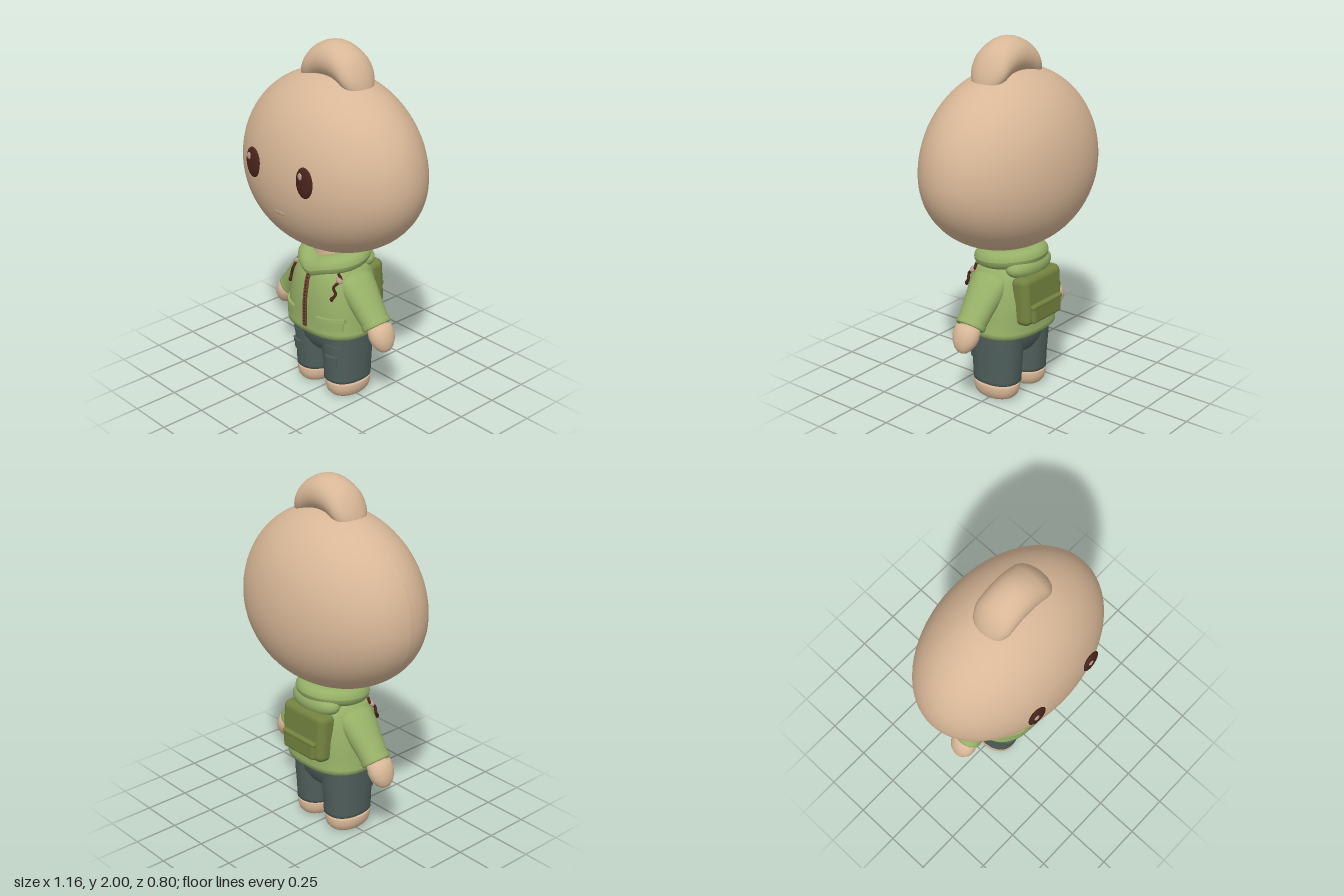
import * as THREE from 'three';
import { RoundedBoxGeometry } from 'three/addons/geometries/RoundedBoxGeometry.js';

const mat = (name, color, side = THREE.FrontSide) => {
  const m = new THREE.MeshStandardMaterial({ color, side });
  m.name = name;
  return m;
};

// Move every vertex by a rule, then refresh the normals
function warp(geo, rule) {
  const p = geo.attributes.position, v = new THREE.Vector3();
  for (let i = 0; i < p.count; i++) {
    rule(v.fromBufferAttribute(p, i));
    p.setXYZ(i, v.x, v.y, v.z);
  }
  geo.computeVertexNormals();
  return geo;
}

// Skin over superellipse rings [y, rx, rz], listed from bottom to top
function loft(rings, power = 2, n = 48) {
  const pos = [], idx = [];
  const bend = (t) => Math.sign(t) * Math.abs(t) ** (2 / power);
  for (const [y, rx, rz] of rings)
    for (let j = 0; j < n; j++) {
      const a = (j / n) * Math.PI * 2;
      pos.push(rx * bend(Math.cos(a)), y, rz * bend(Math.sin(a)));
    }
  for (let i = 0; i < rings.length - 1; i++)
    for (let j = 0; j < n; j++) {
      const k = (j + 1) % n, a = i * n + j, b = i * n + k, c = a + n, d = b + n;
      idx.push(a, c, b, b, c, d);
    }
  const g = new THREE.BufferGeometry();
  g.setAttribute('position', new THREE.Float32BufferAttribute(pos, 3));
  g.setIndex(idx);
  g.computeVertexNormals();
  return g;
}

// Front depth of a lofted shape at (x, y)
function frontOf(rings, power, cx = 0) {
  return (x, y) => {
    let i = 0;
    while (i < rings.length - 2 && rings[i + 1][0] < y) i++;
    const [y0, a0, b0] = rings[i], [y1, a1, b1] = rings[i + 1];
    const t = THREE.MathUtils.clamp((y - y0) / (y1 - y0), 0, 1);
    const q = Math.min(1, Math.abs(x - cx) / (a0 + (a1 - a0) * t));
    return (b0 + (b1 - b0) * t) * (1 - q ** power) ** (1 / power);
  };
}

// Plate that follows a curved front
function patch(x0, x1, y0, y1, thick, surface) {
  const g = new THREE.BoxGeometry(x1 - x0, y1 - y0, thick, 10, 8, 1);
  g.translate((x0 + x1) / 2, (y0 + y1) / 2, 0);
  return warp(g, (v) => { v.z += surface(v.x, v.y); });
}

const JACKET = [[0.395, 0.245, 0.195], [0.398, 0.262, 0.212], [0.425, 0.264, 0.214], [0.432, 0.256, 0.209],
  [0.5, 0.25, 0.21], [0.6, 0.235, 0.207], [0.7, 0.208, 0.192], [0.76, 0.18, 0.168], [0.81, 0.12, 0.12]];
const LEG = [[0.095, 0.098, 0.125], [0.098, 0.108, 0.138], [0.115, 0.108, 0.139], [0.2, 0.108, 0.144],
  [0.3, 0.112, 0.152], [0.42, 0.112, 0.155]];
const LEG_X = 0.113;

export function createModel() {
  const model = new THREE.Group();
  const skin = mat('skin', 0xd8b797), green = mat('jacket green', 0x96b067, THREE.DoubleSide);
  const olive = mat('backpack olive', 0x73823f), slate = mat('trouser slate', 0x4f5f5c, THREE.DoubleSide);
  const dark = mat('dark brown', 0x4a241c), zipBrown = mat('zip brown', 0x6e4530), shine = mat('eye shine', 0xb79a8c);

  const add = (name, geo, material, x = 0, y = 0, z = 0) => {
    const m = new THREE.Mesh(geo, material);
    m.name = name;
    m.position.set(x, y, z);
    model.add(m);
    return m;
  };
  const ball = (name, material, x, y, z, rx, ry, rz) =>
    add(name, new THREE.SphereGeometry(1, 32, 20).scale(rx, ry, rz), material, x, y, z);

  // Head: wide egg, taller above its widest line
  add('head', warp(new THREE.SphereGeometry(1, 72, 48), (v) => {
    const full = v.y < 0 ? 1 + 0.1 * v.y * v.y : 1;
    v.set(v.x * 0.58, v.y * (v.y > 0 ? 0.53 : 0.45), v.z * 0.4 * full);
  }), skin, 0, 1.31, 0);

  // Bent bun on top
  const bun = new THREE.CapsuleGeometry(0.1, 0.24, 14, 32, 16).rotateZ(Math.PI / 2);
  add('bun', warp(bun, (v) => {
    v.y -= 2.6 * v.x * v.x;
    v.z *= 1.13;
  }), skin, 0.027, 1.9, 0);

  // Face
  for (const s of [-1, 1]) {
    const eye = ball('eye', dark, s * 0.2, 1.372, 0.382, 0.056, 0.083, 0.017);
    eye.rotation.y = s * 0.08;
    ball('eyeShine', shine, s * 0.2 - 0.016, 1.405, 0.395, 0.016, 0.02, 0.008);
  }
  ball('mouth', skin, 0, 1.147, 0.373, 0.05, 0.018, 0.006).rotation.x = 0.33;

  // Neck and jacket body
  add('neck', new THREE.CylinderGeometry(0.11, 0.11, 0.2, 32), skin, 0, 0.83, 0);
  add('jacketBody', loft(JACKET, 2.5, 64), green);

  // Folded hood: ring that dips at the front, with a soft bag at the back
  const ring = new THREE.TorusGeometry(0.14, 0.062, 18, 56).rotateX(Math.PI / 2);
  add('hoodCollar', warp(ring, (v) => {
    const f = Math.max(0, v.z / 0.2), mid = Math.exp(-((v.x / 0.07) ** 2));
    v.y = v.y * 0.85 - 0.12 * v.z - 0.03 * f * mid;
    v.z -= 0.008;
  }), green, 0, 0.81, 0);
  ball('hoodBack', green, 0, 0.775, -0.125, 0.17, 0.075, 0.085);

  // Zip, pockets and cords on the jacket front
  const chest = frontOf(JACKET, 2.5);
  add('zip', patch(-0.014, 0.014, 0.43, 0.77, 0.014, chest), zipBrown);
  for (let i = 0; i < 17; i++)
    add('zipTooth', new THREE.BoxGeometry(0.012, 0.007, 0.006), dark, 0, 0.44 + i * 0.0195,
      chest(0, 0.44 + i * 0.0195) + 0.007);
  for (const s of [-1, 1]) {
    const [a, b] = s > 0 ? [0.09, 0.225] : [-0.225, -0.09];
    add('jacketPocket', patch(a + 0.005, b - 0.005, 0.45, 0.505, 0.022, chest), green);
    add('pocketFlap', patch(a, b, 0.495, 0.52, 0.032, chest), green);
    const cord = [[0.155, 0.765], [0.175, 0.735], [0.165, 0.7], [0.178, 0.665], [0.168, 0.635]].map(
      ([x, y]) => new THREE.Vector3(s * x, y, chest(x, y) + 0.014));
    add('drawcord', new THREE.TubeGeometry(new THREE.CatmullRomCurve3(cord), 24, 0.008, 8), dark);
    ball('cordEnd', dark, s * 0.168, 0.637, chest(0.168, 0.637) + 0.014, 0.01, 0.014, 0.01);
    ball('cordBead', shine, s * 0.173, 0.733, chest(0.173, 0.733) + 0.018, 0.022, 0.014, 0.016).rotation.z = s * -0.5;
  }

  // Arms
  const sleeve = loft([[0, 0.05, 0.06], [-0.002, 0.07, 0.078], [0.004, 0.074, 0.084], [0.024, 0.074, 0.084],
    [0.03, 0.07, 0.081], [0.12, 0.073, 0.092], [0.22, 0.078, 0.108], [0.28, 0.07, 0.108],
    [0.315, 0.045, 0.075], [0.325, 0.001, 0.001]], 2.1);
  const hand = loft([[-0.115, 0.001, 0.001], [-0.11, 0.02, 0.026], [-0.09, 0.039, 0.048], [-0.055, 0.055, 0.07],
    [-0.015, 0.06, 0.078], [0.03, 0.056, 0.07], [0.05, 0.001, 0.001]], 2.1);
  for (const s of [-1, 1]) {
    add('sleeve', sleeve, green, s * 0.345, 0.485, 0).rotation.z = s * 0.69;
    add('hand', hand, skin, s * 0.372, 0.463, 0).rotation.z = s * 0.42;
  }

  // Backpack, curved around the back
  const curved = (w, h, d, r) => warp(new RoundedBoxGeometry(w, h, d, 6, r), (v) => { v.z += 0.9 * v.x * v.x; });
  add('backpack', curved(0.33, 0.27, 0.1, 0.035), olive, 0, 0.61, -0.204).rotation.x = 0.06;
  add('backpackPocket', curved(0.25, 0.105, 0.05, 0.018), olive, 0, 0.54, -0.247);
  add('backpackFlap', curved(0.26, 0.025, 0.055, 0.01), olive, 0, 0.582, -0.249);

  // Trousers
  add('trouserSeat', loft([[0.225, 0.001, 0.001], [0.23, 0.05, 0.07], [0.265, 0.13, 0.125], [0.31, 0.19, 0.152],
    [0.36, 0.222, 0.162], [0.46, 0.224, 0.165]], 2.4), slate);
  const foot = loft([[0, 0.001, 0.001], [0.002, 0.06, 0.085], [0.01, 0.083, 0.112], [0.028, 0.096, 0.127],
    [0.055, 0.103, 0.134], [0.082, 0.103, 0.134], [0.085, 0.1, 0.131], [0.0855, 0.001, 0.001]], 2.2);
  const leg = loft(LEG, 2.3);
  for (const s of [-1, 1]) {
    add('trouserLeg', leg, slate, s * LEG_X, 0, 0);
    add('foot', foot, skin, s * 0.118, 0, 0);
    const thigh = frontOf(LEG, 2.3, s * LEG_X), c = s * 0.14;
    add('trouserPocket', patch(c - 0.033, c + 0.033, 0.208, 0.262, 0.022, thigh), slate);
    add('trouserFlap', patch(c - 0.036, c + 0.036, 0.25, 0.27, 0.03, thigh), slate);
    const h = s * 0.155;
    add('hipPocketFlap', patch(h - 0.045, h + 0.045, 0.322, 0.335, 0.012, thigh), slate);
  }
  return model;
}
